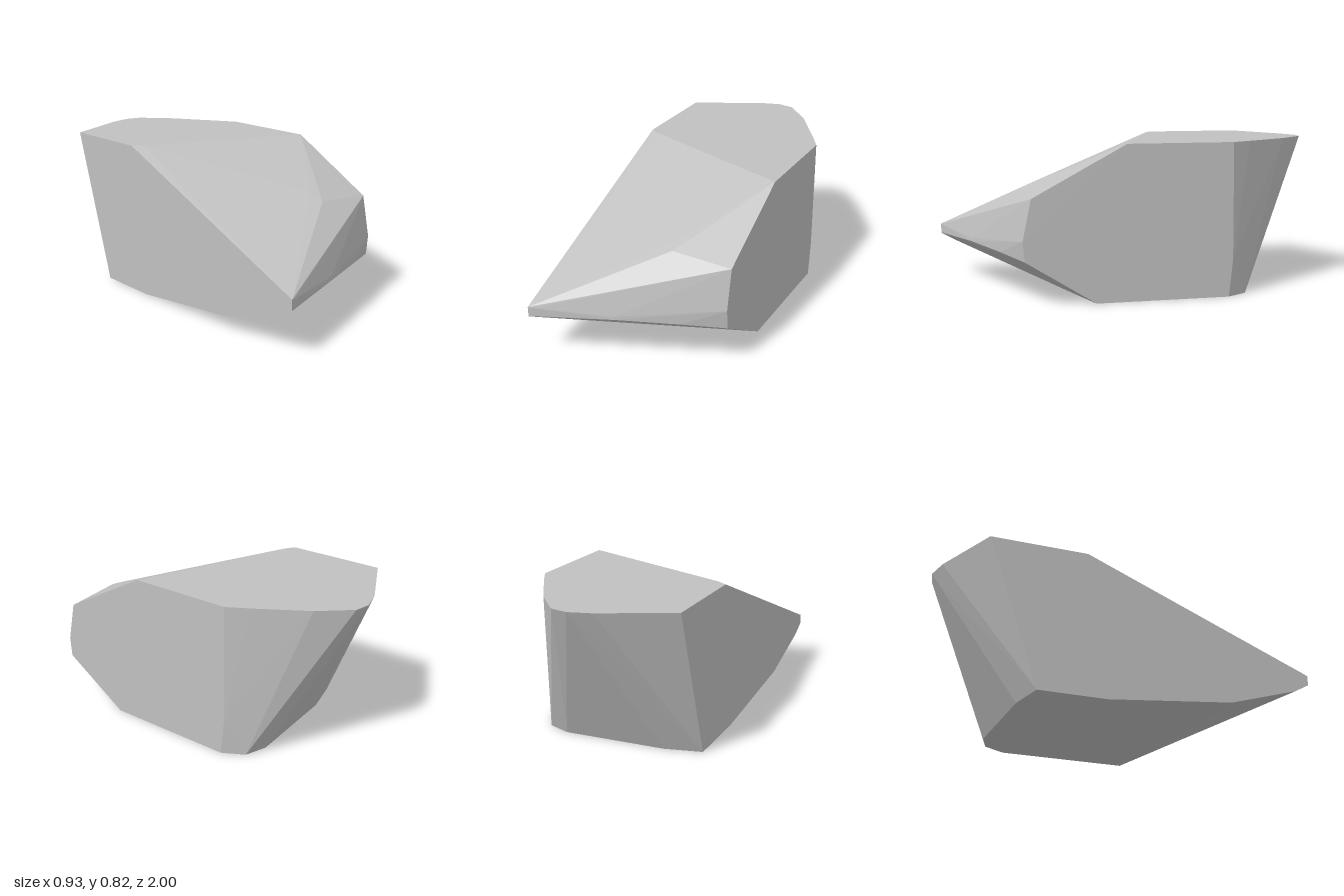
import * as THREE from 'three';
import { ConvexGeometry } from 'three/addons/geometries/ConvexGeometry.js';

export function createModel() {
  const group = new THREE.Group();
  group.name = 'rock';

  const stone = new THREE.MeshStandardMaterial({ color: 0xc0c0c0 });
  stone.name = 'grey stone';

  const W = 0.465; // half width between the two flat cut sides
  const H = 0.816; // height of the flat top
  const points = [];
  const add = (list, place) => list.forEach((p) => points.push(new THREE.Vector3(...place(p))));

  // flat top outline (x, z)
  add([[-W, -0.78], [-0.11, -0.963], [0.01, -1], [0.1, -0.985], [0.24, -0.835],
    [0.4, -0.585], [W, -0.475], [W, 0.09], [-0.41, -0.22], [-W, -0.255]], ([x, z]) => [x, H, z]);

  // flat bottom outline (x, z)
  add([[W, -0.46], [0.4, -0.572], [0.28, -0.61], [-0.27, -0.564], [-W, -0.51],
    [-W, -0.146], [0.17, 0.345], [W, 0.25]], ([x, z]) => [x, 0, z]);

  // left cut side (z, y)
  add([[0.58, 0.55], [0.625, 0.335], [0.615, 0.23], [-0.48, 0.2]], ([z, y]) => [W, y, z]);

  // right cut side (z, y)
  add([[1, 0.295], [1, 0.24], [0.92, 0.195], [0.535, 0.075]], ([z, y]) => [-W, y, z]);

  // worn ridge on the front slope, and the blunt nose edge
  add([[0.14, 0.61, 0.5], [0.14, 0.572, 0.59], [0.04, 0.567, 0.55],
    [-0.44, 0.292, 0.992], [-0.05, 0.275, 0.848], [0.25, 0.295, 0.718],
    [-0.44, 0.246, 0.993], [-0.05, 0.258, 0.85], [0.25, 0.248, 0.72]], (p) => p);

  // faceted solid with flat normals
  const rock = new THREE.Mesh(new ConvexGeometry(points), stone);
  rock.name = 'rockChunk';
  group.add(rock);
  return group;
}
